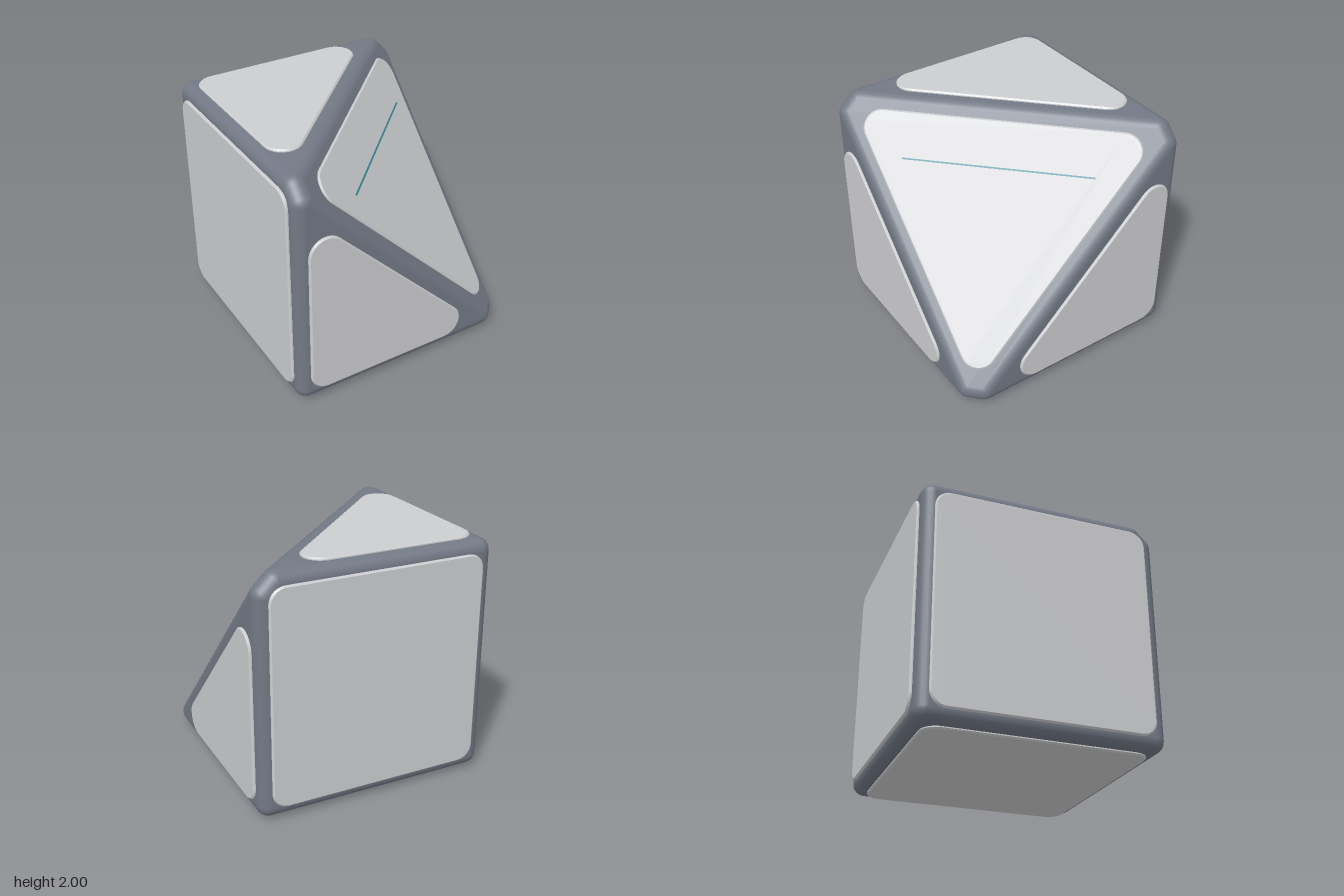
import * as THREE from 'three';
import { ConvexGeometry } from 'three/addons/geometries/ConvexGeometry.js';

const ROUND = 0.1;      // edge radius of the body
const HALF = 0.98;      // half width of the body
const CUT = 0.97;       // x + y + z on the body's cut corner
const CUT_PANEL = 0.997; // x + y + z on the cut corner's panel
const DIAGONAL = new THREE.Vector3(1, 1, 1).normalize();

// Rounded hull: small spheres at the inset corners, normals pointing away from them
function bodyGeometry() {
  const c = HALF - ROUND;
  const e = CUT - Math.sqrt(3) * ROUND;
  const centres = [[-c, -c, -c]];
  for (let i = 0; i < 3; i++) {
    for (const p of [[c, -c, -c], [c, e, -c], [e, c, -c]]) {
      centres.push([p[(3 - i) % 3], p[(4 - i) % 3], p[(5 - i) % 3]]);
    }
  }
  const corners = centres.map((p) => new THREE.Vector3(...p));

  const n = 3;
  const directions = [];
  for (let x = -n; x <= n; x++) for (let y = -n; y <= n; y++) for (let z = -n; z <= n; z++) {
    if (Math.max(Math.abs(x), Math.abs(y), Math.abs(z)) === n) {
      directions.push(new THREE.Vector3(x, y, z).normalize());
    }
  }
  const points = corners.flatMap((p) => directions.map((d) => p.clone().addScaledVector(d, ROUND)));
  const geometry = new ConvexGeometry(points);

  const position = geometry.attributes.position;
  const v = new THREE.Vector3();
  for (let i = 0; i < position.count; i++) {
    v.fromBufferAttribute(position, i);
    const near = corners.reduce((a, b) => (v.distanceToSquared(b) < v.distanceToSquared(a) ? b : a));
    v.sub(near).normalize();
    geometry.attributes.normal.setXYZ(i, v.x, v.y, v.z);
  }
  return geometry;
}

// Polygon (counter-clockwise) with arcs at its corners
function roundedShape(points, radius) {
  const pts = points.map((p) => new THREE.Vector2(...p));
  const shape = new THREE.Shape();
  pts.forEach((p, i) => {
    const before = pts[(i + pts.length - 1) % pts.length];
    const after = pts[(i + 1) % pts.length];
    const a = before.clone().sub(p).normalize();
    const b = after.clone().sub(p).normalize();
    const sinHalf = Math.sqrt((1 - a.dot(b)) / 2);
    const centre = p.clone().addScaledVector(a.clone().add(b).normalize(), radius / sinHalf);
    const start = Math.atan2(a.x, -a.y);
    const end = Math.atan2(-b.x, b.y);
    shape.absarc(centre.x, centre.y, radius, start, end, false);
  });
  return shape;
}

// Bevelled plate whose outer face lies at z = 0
function plateGeometry(points, radius) {
  const bevel = 0.012;
  const depth = 0.03;
  const geometry = new THREE.ExtrudeGeometry(roundedShape(points, radius), {
    depth, bevelThickness: bevel, bevelSize: bevel, bevelOffset: -bevel, bevelSegments: 1, curveSegments: 6,
  });
  return geometry.translate(0, 0, -depth - bevel);
}

export function createModel() {
  const frameGrey = new THREE.MeshStandardMaterial({ color: 0x727885 });
  const panelGrey = new THREE.MeshStandardMaterial({ color: 0xcccdcf });
  const teal = new THREE.MeshStandardMaterial({ color: 0x3a8c9a });
  frameGrey.name = 'frameGrey';
  panelGrey.name = 'panelGrey';
  teal.name = 'teal';

  const model = new THREE.Group();
  model.name = 'cutCornerCube';
  const add = (name, geometry, material, parent) => {
    const mesh = new THREE.Mesh(geometry, material);
    mesh.name = name;
    parent.add(mesh);
    return mesh;
  };

  // Centred on the cube's middle
  const cube = new THREE.Group();
  cube.name = 'cube';
  cube.position.y = 1;
  model.add(cube);
  add('body', bodyGeometry(), frameGrey, cube);

  // Three triangular and three square panels, repeated about the cut corner's axis
  const w = 0.885;
  const tip = w - 0.155;
  const triangle = plateGeometry([[-w, -w], [tip, -w], [-w, tip]], 0.15);
  const square = plateGeometry([[-w, -w], [w, -w], [w, w], [-w, w]], 0.13);
  for (let i = 0; i < 3; i++) {
    const side = new THREE.Group();
    side.name = 'panelPair';
    side.quaternion.setFromAxisAngle(DIAGONAL, (i * Math.PI * 2) / 3);
    cube.add(side);
    add('triangularPanel', triangle, panelGrey, side).position.z = 1;
    const back = add('squarePanel', square, panelGrey, side);
    back.position.z = -1;
    back.rotation.y = Math.PI;
  }

  // Large panel on the cut corner: local x runs level, local y up the slope
  const slope = new THREE.Group();
  slope.name = 'cutFace';
  const across = new THREE.Vector3(1, 0, -1).normalize();
  const up = new THREE.Vector3().crossVectors(DIAGONAL, across);
  slope.quaternion.setFromRotationMatrix(new THREE.Matrix4().makeBasis(across, up, DIAGONAL));
  slope.position.copy(DIAGONAL).multiplyScalar(CUT_PANEL / Math.sqrt(3));
  cube.add(slope);
  const reach = 2 * (0.905 - CUT_PANEL / 3) * Math.sqrt(1.5); // centre to unrounded corner
  const corners = [30, 150, 270].map((deg) => {
    const a = THREE.MathUtils.degToRad(deg);
    return [reach * Math.cos(a), reach * Math.sin(a)];
  });
  add('cutPanel', plateGeometry(corners, 0.15), panelGrey, slope);

  // Thin level line across the panel
  const line = add('levelLine', new THREE.BoxGeometry(1.53, 0.013, 0.009), teal, slope);
  line.position.y = (0.6 - CUT_PANEL / 3) * Math.sqrt(1.5);
  line.position.z = 0.002;

  return model;
}
